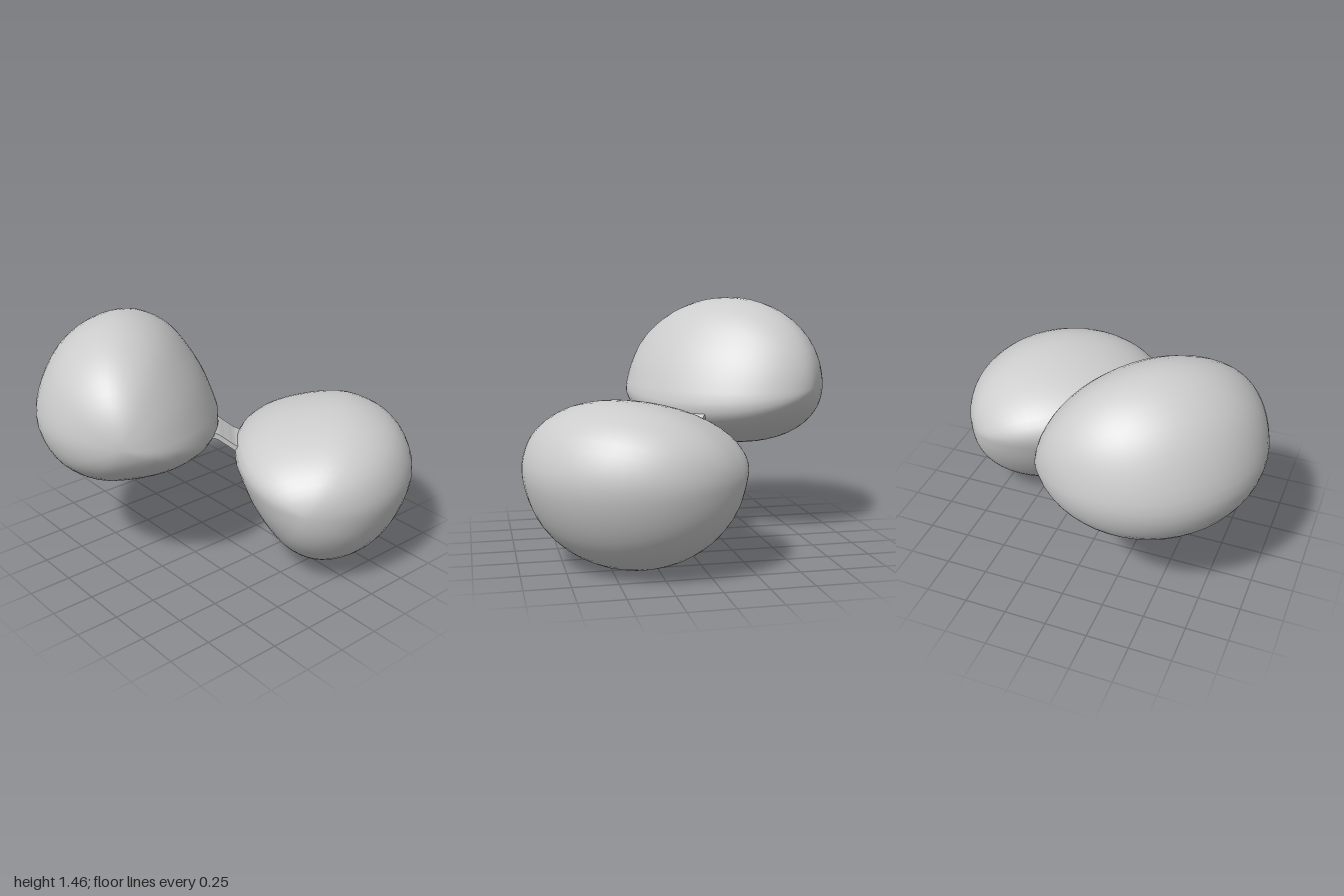
import * as THREE from 'three';

const MID_Y = 0.73; // height of the point both lobes mirror through
const POLE = new THREE.Vector2(-0.5, 0.2); // where the lobe's sides close up
const HALF_WIDTH = 0.66;

// Lobe outline in its middle plane: [along the axis, height above the middle]
const OUTLINE = [
  [-0.05, 0.05], [-0.16, -0.07], [-0.42, -0.17], [-0.75, -0.2], [-1.0, -0.08], [-1.11, 0.14],
  [-1.08, 0.34], [-0.95, 0.57], [-0.76, 0.7], [-0.58, 0.73], [-0.38, 0.65], [-0.2, 0.44], [-0.09, 0.22],
];

// Closed, rounded body: the outline shrinks to a pole on either side.
// sign = -1 makes the point-mirrored twin.
function lobeGeometry(sign, around = 48, rows = 28) {
  const curve = new THREE.CatmullRomCurve3(
    OUTLINE.map(([n, y]) => new THREE.Vector3(n, y, 0)), true);
  const ring = curve.getSpacedPoints(around).slice(0, around);
  const pos = [], index = [];
  for (let r = 1; r < rows; r++) {
    const phi = -Math.PI / 2 + (Math.PI * r) / rows;
    const s = Math.cos(phi);
    for (const p of ring) {
      pos.push(
        sign * (POLE.x + (p.x - POLE.x) * s),
        sign * (POLE.y + (p.y - POLE.y) * s),
        sign * (0.03 + HALF_WIDTH * Math.sin(phi)));
    }
  }
  const tri = (a, b, c) => (sign > 0 ? index.push(a, b, c) : index.push(a, c, b));
  for (let r = 0; r < rows - 2; r++) {
    for (let i = 0; i < around; i++) {
      const a = r * around + i, b = r * around + ((i + 1) % around);
      tri(a, a + around, b);
      tri(b, a + around, b + around);
    }
  }
  // Pole caps
  const first = pos.length / 3, last = first + 1, top = (rows - 2) * around;
  for (const side of [-1, 1]) {
    pos.push(sign * POLE.x, sign * POLE.y, sign * (0.03 + side * HALF_WIDTH));
  }
  for (let i = 0; i < around; i++) {
    const j = (i + 1) % around;
    tri(first, i, j);
    tri(last, top + j, top + i);
  }
  const geo = new THREE.BufferGeometry();
  geo.setAttribute('position', new THREE.Float32BufferAttribute(pos, 3));
  geo.setIndex(index);
  geo.computeVertexNormals();
  return geo;
}

// Thin S-curved strip joining the two lobes
function connectorGeometry() {
  const path = new THREE.SplineCurve(
    [[-0.18, 0.06], [-0.07, 0.045], [0, 0], [0.07, -0.045], [0.18, -0.06]]
      .map(([x, y]) => new THREE.Vector2(x, y))).getPoints(16);
  const t = 0.018;
  const shape = new THREE.Shape([
    ...path.map((p) => new THREE.Vector2(p.x, p.y - t)),
    ...path.map((p) => new THREE.Vector2(p.x, p.y + t)).reverse(),
  ]);
  const geo = new THREE.ExtrudeGeometry(shape, { depth: 0.26, bevelEnabled: false });
  return geo.translate(0, 0, -0.13);
}

export function createModel() {
  const group = new THREE.Group();
  group.name = 'twinLobes';
  const material = new THREE.MeshStandardMaterial({ color: 0xcccccc });
  const add = (name, geometry) => {
    const mesh = new THREE.Mesh(geometry, material);
    mesh.name = name;
    mesh.position.y = MID_Y;
    mesh.rotation.y = Math.PI / 4; // the axis runs diagonally
    group.add(mesh);
    return mesh;
  };
  add('upperLobe', lobeGeometry(1));
  add('lowerLobe', lobeGeometry(-1));
  add('connector', connectorGeometry()).rotation.y += 0.12;
  return group;
}
